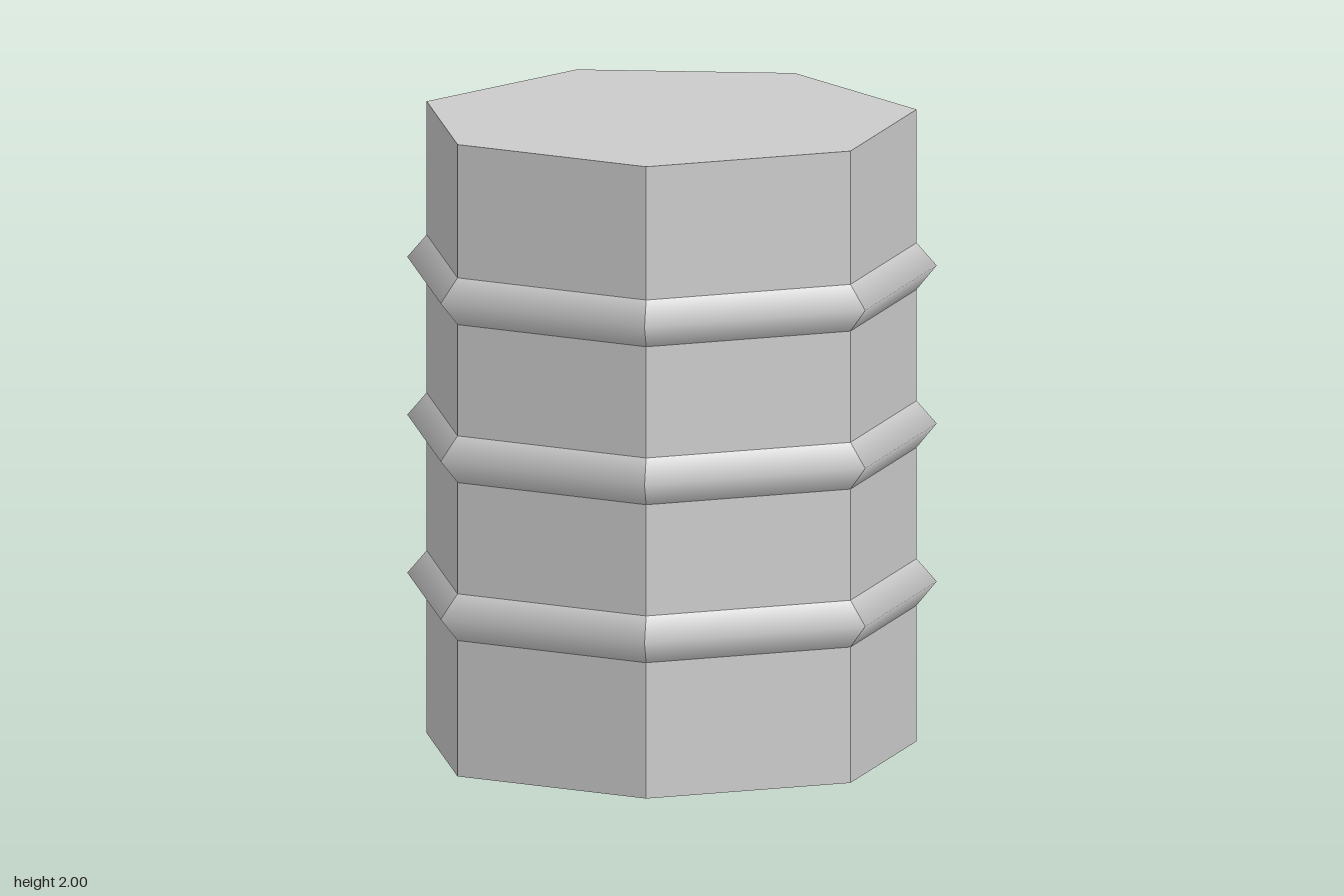
import * as THREE from 'three';

const SIDES = 7;
const BODY_R = 0.782, RIB_R = 0.845, HALF = 0.074;

// One open rib: each side rounds smoothly over its ridge, with sharp corners between sides
function ribGeometry() {
  const pos = [], nor = [], idx = [];
  const profile = [[BODY_R, HALF, 1], [RIB_R, 0, 0], [BODY_R, -HALF, -1]];
  const step = (Math.PI * 2) / SIDES;
  // Slope normal of the rib, measured across the flat of a side
  const slope = new THREE.Vector2(HALF, (RIB_R - BODY_R) * Math.cos(step / 2)).normalize();
  for (let s = 0; s < SIDES; s++) {
    const mid = (s + 0.5) * step, base = s * 6;
    for (const a of [s * step, (s + 1) * step]) {
      for (const [r, y, tilt] of profile) {
        const out = tilt ? slope.x : 1;
        pos.push(r * Math.cos(a), y, r * Math.sin(a));
        nor.push(out * Math.cos(mid), tilt * slope.y, out * Math.sin(mid));
      }
    }
    for (const k of [base, base + 1]) idx.push(k, k + 3, k + 4, k, k + 4, k + 1);
  }
  const g = new THREE.BufferGeometry();
  g.setAttribute('position', new THREE.Float32BufferAttribute(pos, 3));
  g.setAttribute('normal', new THREE.Float32BufferAttribute(nor, 3));
  g.setIndex(idx);
  return g;
}

export function createModel() {
  const model = new THREE.Group();
  model.name = 'barrel';

  // Seven-sided drum with closed ends, one corner towards +x
  const body = new THREE.Mesh(
    new THREE.CylinderGeometry(BODY_R, BODY_R, 2, SIDES, 1, false, Math.PI / 2),
    new THREE.MeshStandardMaterial({ color: 0xcccccc, flatShading: true })
  );
  body.name = 'body';
  body.position.y = 1;
  model.add(body);

  // Three ribs around the drum
  const ribMaterial = new THREE.MeshStandardMaterial({ color: 0xcccccc, side: THREE.DoubleSide });
  const geometry = ribGeometry();
  ['lowerRib', 'middleRib', 'upperRib'].forEach((name, i) => {
    const rib = new THREE.Mesh(geometry, ribMaterial);
    rib.name = name;
    rib.position.y = 0.504 + i * 0.5;
    model.add(rib);
  });

  // Centre the odd-sided outline on x
  for (const part of model.children) part.position.x = -0.042;
  return model;
}
